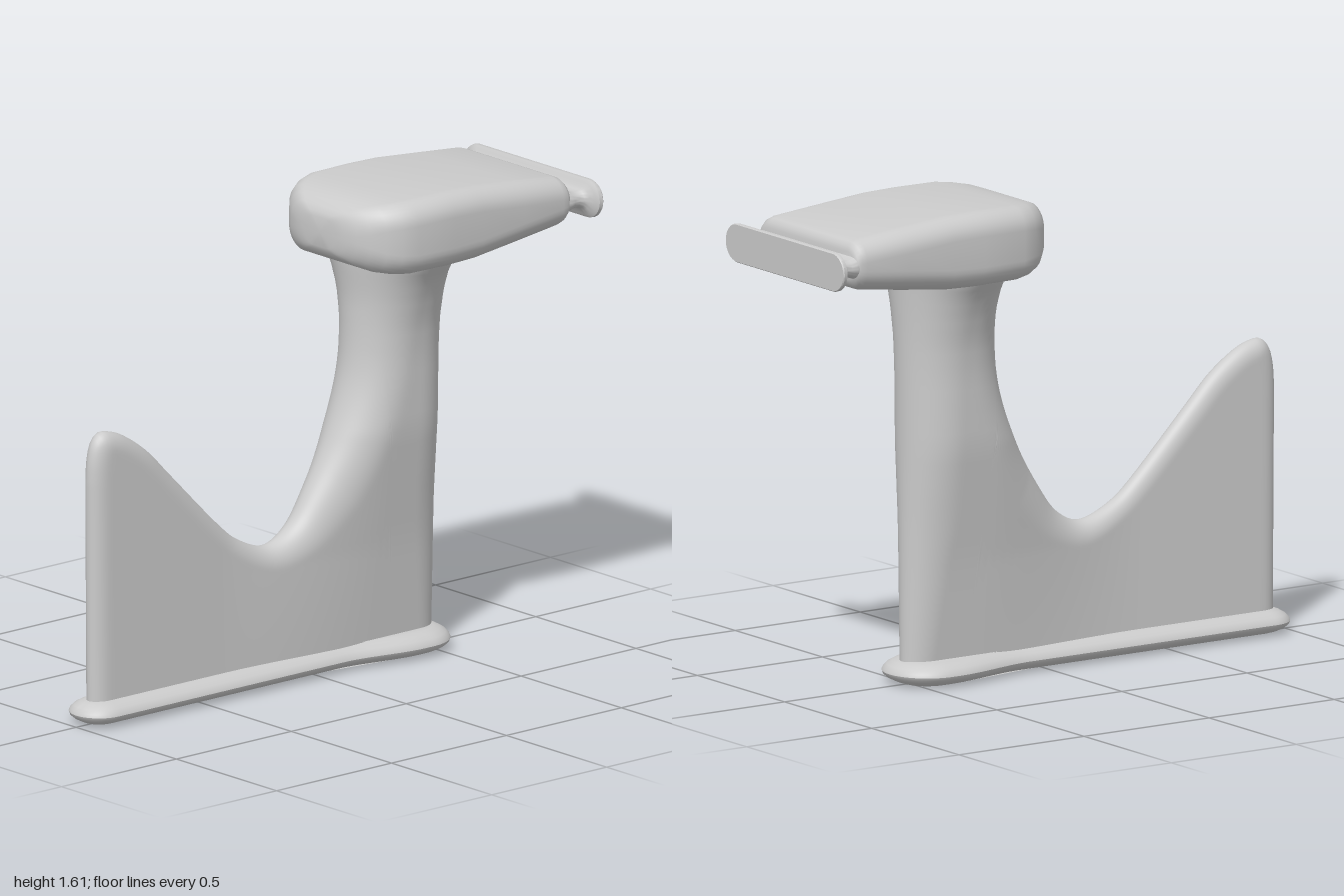
import * as THREE from 'three';
import { mergeVertices, toCreasedNormals } from 'three/addons/utils/BufferGeometryUtils.js';

const { lerp, smoothstep, clamp } = THREE.MathUtils;
const material = new THREE.MeshStandardMaterial({ color: 0xcccccc, side: THREE.DoubleSide });

function makeGeometry(points, index) {
  const g = new THREE.BufferGeometry();
  g.setAttribute('position', new THREE.Float32BufferAttribute(points.flat(), 3));
  g.setIndex(index);
  return g;
}

// Quarter-round falloff: 0 on the edge, 1 once d reaches r
const round = (d, r) => Math.sqrt(1 - (1 - clamp(d / r, 0, 1)) ** 2);

// Skin closed rings of equal length, with both ends capped
function loft(rings, crease) {
  const n = rings[0].length, points = rings.flat(), index = [];
  for (let i = 0; i < rings.length - 1; i++) {
    for (let j = 0; j < n; j++) {
      const k = (j + 1) % n, a = i * n, b = a + n;
      index.push(a + j, b + j, a + k, b + j, b + k, a + k);
    }
  }
  for (const i of [0, rings.length - 1]) {
    const c = points.length;
    points.push([0, 1, 2].map(q => rings[i].reduce((s, p) => s + p[q], 0) / n));
    for (let j = 0; j < n; j++) {
      const a = i * n + j, b = i * n + (j + 1) % n;
      index.push(c, i ? b : a, i ? a : b);
    }
  }
  return toCreasedNormals(makeGeometry(points, index), crease);
}

// Rounded rectangle across x: [x, bottom, top, half depth, corner radius]
function roundedRing([x, y0, y1, hz, radius]) {
  const ring = [], hy = (y1 - y0) / 2, r = Math.min(radius, hy, hz);
  for (let q = 0; q < 4; q++) {
    const sz = q === 0 || q === 3 ? 1 : -1, sy = q < 2 ? 1 : -1;
    for (let k = 0; k <= 8; k++) {
      const a = (q + k / 8) * Math.PI / 2;
      ring.push([x, (y0 + y1) / 2 + sy * (hy - r) + r * Math.sin(a), sz * (hz - r) + r * Math.cos(a)]);
    }
  }
  return ring;
}

// Half thickness of the upright by height, and its blend into the thin fin
const postWidths = [[0.04, 0.06], [0.4, 0.09], [0.8, 0.14], [1.05, 0.147], [1.15, 0.158],
  [1.25, 0.185], [1.32, 0.215], [1.38, 0.255], [1.46, 0.26]];
function halfThickness(x, y) {
  let i = 1;
  while (i < postWidths.length - 1 && y > postWidths[i][0]) i++;
  const [a, b] = [postWidths[i - 1], postWidths[i]];
  const post = lerp(a[1], b[1], clamp((y - a[0]) / (b[0] - a[0]), 0, 1));
  return lerp(0.042, post, smoothstep(x, -0.4, 0.25));
}

// Fin and upright in one skin: columns run from the base up to the crest line
function bodyGeometry() {
  const bottom = 0.04, right = 0.53;
  const crest = new THREE.SplineCurve([
    [-0.95, 0.82], [-0.946, 0.89], [-0.932, 0.95], [-0.905, 0.983], [-0.87, 0.986], [-0.8, 0.96],
    [-0.7, 0.89], [-0.6, 0.79], [-0.4, 0.59], [-0.3, 0.51], [-0.18, 0.467], [-0.08, 0.51],
    [0, 0.61], [0.1, 0.78], [0.175, 0.98], [0.2, 1.2], [0.195, 1.36], [0.195, 1.45],
  ].map(p => new THREE.Vector2(...p))).getSpacedPoints(130);
  const outline = [new THREE.Vector2(-0.945, bottom), ...crest];

  const columns = crest.map((p, i) => [
    i === 0 ? -0.945 : Math.max(-0.945, p.x) + (p.x > -0.18 ? 0.13 * smoothstep(p.y, 0.467, 1.45) : 0), p.x, p.y]);
  const [lastBase, lastX, lastY] = columns[columns.length - 1];
  for (let k = 1; k <= 28; k++) {
    const f = (1 - Math.cos(Math.PI * k / 28)) / 2;
    columns.push([lerp(lastBase, right, f), lerp(lastX, right, f), lastY]);
  }

  const edgeDistance = (x, y) => {
    let best = right - x;
    for (let i = 0; i < outline.length - 1; i++) {
      const a = outline[i], b = outline[i + 1], dx = b.x - a.x, dy = b.y - a.y;
      const t = clamp(((x - a.x) * dx + (y - a.y) * dy) / (dx * dx + dy * dy), 0, 1);
      best = Math.min(best, Math.hypot(x - a.x - t * dx, y - a.y - t * dy));
    }
    return best;
  };

  const rows = 36, points = [], index = [];
  for (const side of [1, -1]) {
    const start = points.length;
    columns.forEach(([bx, tx, ty], i) => {
      for (let j = 0; j <= rows; j++) {
        const v = Math.sin(j / rows * Math.PI / 2);
        const x = lerp(bx, tx, v), y = lerp(bottom, ty, v), w = halfThickness(x, y);
        points.push([x, y, side * w * round(edgeDistance(x, y), Math.min(1.4 * w, 0.15))]);
        if (i === 0 || j === 0) continue;
        const d = start + i * (rows + 1) + j, c = d - 1, b = d - rows - 1, a = b - 1;
        if (side > 0) index.push(a, c, b, c, d, b);
        else index.push(a, b, c, c, b, d);
      }
    });
  }
  const g = mergeVertices(makeGeometry(points, index), 1e-5);
  g.computeVertexNormals();
  return g;
}

// Lens-edged foot that widens under the upright
function baseGeometry() {
  const n = 80;
  const profile = [[0, 0.065], [0.008, 0.04], [0.02, 0.016], [0.03, 0.004], [0.04, 0],
    [0.05, 0.004], [0.062, 0.016], [0.073, 0.035], [0.08, 0.058]];
  return loft(profile.map(([y, inset]) => {
    const ring = [];
    for (let j = 0; j < 2 * n; j++) {
      const side = j < n ? 1 : -1;
      const c = Math.cos(Math.PI * j / n);
      const x = lerp(-1 + inset, 0.58 - inset, (c + 1) / 2);
      const w = lerp(0.1, 0.15, smoothstep(x, 0.08, 0.4)) - inset;
      const d = Math.min(x + 1 - inset, 0.58 - inset - x);
      ring.push([x, y, side * w * round(d, w)]);
    }
    return ring;
  }), 0.7);
}

export function createModel() {
  const group = new THREE.Group();
  const add = (name, geometry) => {
    const mesh = new THREE.Mesh(geometry, material);
    mesh.name = name;
    group.add(mesh);
  };

  add('base', baseGeometry());
  add('finAndUpright', bodyGeometry());

  // Head block with a rounded nose and a tapered far end
  add('head', loft([
    [0.06, 1.44, 1.54, 0.08, 0.05], [0.066, 1.425, 1.556, 0.12, 0.06], [0.08, 1.408, 1.572, 0.165, 0.07],
    [0.105, 1.391, 1.588, 0.205, 0.075], [0.14, 1.376, 1.6, 0.243, 0.075], [0.185, 1.367, 1.607, 0.272, 0.075],
    [0.24, 1.362, 1.612, 0.29, 0.075], [0.4, 1.36, 1.613, 0.292, 0.075], [0.52, 1.364, 1.61, 0.292, 0.075],
    [0.7, 1.385, 1.594, 0.291, 0.075], [0.87, 1.408, 1.577, 0.29, 0.07], [0.89, 1.416, 1.57, 0.288, 0.065],
    [0.902, 1.428, 1.558, 0.284, 0.06], [0.908, 1.445, 1.54, 0.275, 0.05],
  ].map(roundedRing), 0.8));

  // Slim neck flaring into the end plate
  add('endFlange', loft([
    [0.895, 0.045, 0.285], [0.91, 0.035, 0.288], [0.925, 0.028, 0.285], [0.945, 0.026, 0.285], [0.96, 0.03, 0.29],
    [0.97, 0.04, 0.303], [0.977, 0.054, 0.325], [0.984, 0.064, 0.338], [0.996, 0.065, 0.34], [1, 0.062, 0.337],
  ].map(([x, h, hz]) => roundedRing([x, 1.49 - h, 1.49 + h, hz, h])), 0.8));

  return group;
}
